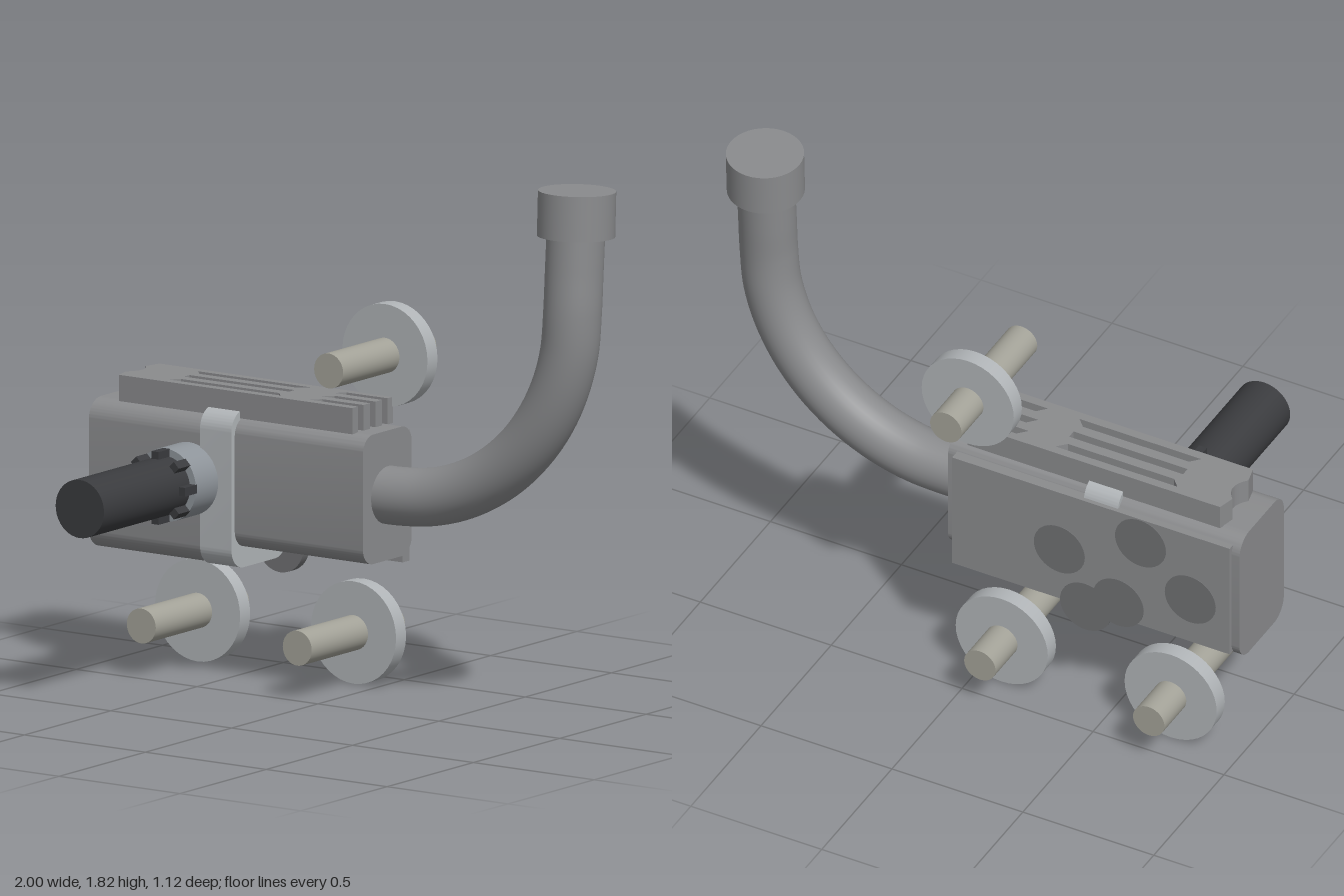
import * as THREE from 'three';
import { toCreasedNormals } from 'three/addons/utils/BufferGeometryUtils.js';

const mat = (color) => new THREE.MeshStandardMaterial({ color });

export function createModel() {
  const model = new THREE.Group();
  const grey = mat(0x8a8b8d), light = mat(0xb0b4b7), steel = mat(0x8f959b);
  const beige = mat(0xa3a298), dark = mat(0x3a3b3e), discGrey = mat(0x707173);

  function add(name, geometry, material, x = 0, y = 0, z = 0) {
    const mesh = new THREE.Mesh(geometry, material);
    mesh.name = name;
    mesh.position.set(x, y, z);
    model.add(mesh);
    return mesh;
  }

  // Cylinder lying along z between two depths
  function rod(name, r, x, y, z0, z1, material) {
    const g = new THREE.CylinderGeometry(r, r, z1 - z0, 40).rotateX(Math.PI / 2);
    return add(name, g, material, x, y, (z0 + z1) / 2);
  }

  // Rounded section swept along x
  function roundedBar(name, x0, x1, y0, y1, z0, z1, r, material) {
    const a = -z1, b = -z0, s = new THREE.Shape();
    s.moveTo(a + r, y0);
    s.lineTo(b - r, y0);
    s.absarc(b - r, y0 + r, r, -Math.PI / 2, 0);
    s.absarc(b - r, y1 - r, r, 0, Math.PI / 2);
    s.absarc(a + r, y1 - r, r, Math.PI / 2, Math.PI);
    s.absarc(a + r, y0 + r, r, Math.PI, Math.PI * 1.5);
    const g = new THREE.ExtrudeGeometry(s, { depth: x1 - x0, bevelEnabled: false, curveSegments: 10 });
    return add(name, toCreasedNormals(g.rotateY(Math.PI / 2), 0.6), material, x0, 0, 0);
  }

  // Main housing, stepped down on the pipe side, with a band over the joint
  roundedBar('rearHousing', -1, -0.42, 0.407, 0.92, -0.39, -0.073, 0.07, grey);
  roundedBar('frontHousing', -0.42, 0.125, 0.475, 0.92, -0.368, -0.085, 0.06, grey);
  roundedBar('strap', -0.535, -0.405, 0.403, 0.945, -0.389, -0.066, 0.07, light);

  // Back plate with round pads
  add('backPlate', new THREE.BoxGeometry(1.06, 0.45, 0.038), grey, -0.44, 0.665, -0.384);
  [[-0.32, 0.65], [-0.63, 0.79], [-0.82, 0.62], [-0.42, 0.442], [-0.545, 0.505]].forEach(([x, y]) =>
    rod('backPad', 0.097, x, y, -0.405, -0.37, discGrey));

  // Slotted top rail: outline in (x, -z) with notched end and open-ended grooves
  const slotRows = [0.164, 0.234, 0.303], w = 0.016;
  const rail = new THREE.Shape();
  rail.moveTo(-0.905, 0.115);
  rail.lineTo(0.06, 0.115);
  slotRows.forEach((c) => {
    rail.lineTo(0.06, c - w);
    rail.lineTo(-0.14, c - w);
    rail.lineTo(-0.11, c + w);
    rail.lineTo(0.06, c + w);
  });
  rail.lineTo(0.06, 0.35);
  rail.lineTo(-0.905, 0.35);
  rail.lineTo(-0.92, 0.29);
  rail.quadraticCurveTo(-0.865, 0.233, -0.92, 0.176);
  slotRows.forEach((c, i) => {
    const slant = (i - 1) * 0.03;
    const hole = new THREE.Path();
    hole.moveTo(-0.71 + slant / 2, c - w);
    hole.lineTo(-0.71 - slant / 2, c + w);
    hole.lineTo(-0.275 + slant / 2, c + w);
    hole.lineTo(-0.275 - slant / 2, c - w);
    hole.closePath();
    rail.holes.push(hole);
  });
  const railGeo = new THREE.ExtrudeGeometry(rail, { depth: 0.09, bevelEnabled: false });
  add('topRail', railGeo.rotateX(-Math.PI / 2), grey, 0, 0.918, 0);

  // Wheels on cross axles
  [[-0.745, 0.18], [-0.1, 0.18], [0.03, 1.148]].forEach(([x, y]) => {
    rod('wheel', 0.176, x, y, -0.404, -0.346, light);
    rod('axle', 0.06, x, y, -0.56, -0.02, beige);
  });

  // Front handle: collar, grip and ring of teeth
  const kx = -0.585, ky = 0.697;
  rod('handleCollar', 0.125, kx, ky, -0.09, 0.062, steel);
  rod('handleGrip', 0.1, kx, ky, 0.05, 0.56, dark);
  for (let i = 0; i < 8; i++) {
    const a = (i * Math.PI) / 4;
    const tooth = add('handleTooth', new THREE.BoxGeometry(0.04, 0.03, 0.068), dark,
      kx + Math.cos(a) * 0.105, ky + Math.sin(a) * 0.105, 0.091);
    tooth.rotation.z = a;
  }

  // Bent pipe rising to a capped end, leaning slightly backward
  const points = [new THREE.Vector3(0.05, 0.7, -0.23)];
  for (let i = 0; i <= 8; i++) {
    const a = (i / 8) * Math.PI / 2;
    points.push(new THREE.Vector3(0.18 + 0.685 * Math.sin(a), 1.405 - 0.705 * Math.cos(a),
      -0.233 - 0.03 * Math.sin(a)));
  }
  points.push(new THREE.Vector3(0.866, 1.55, -0.272), new THREE.Vector3(0.867, 1.72, -0.283));
  add('pipe', new THREE.TubeGeometry(new THREE.CatmullRomCurve3(points), 64, 0.099, 32), grey);
  const cap = add('pipeCap', new THREE.CylinderGeometry(0.132, 0.132, 0.155, 40), grey, 0.867, 1.745, -0.284);
  cap.rotation.x = -0.04;

  return model;
}
